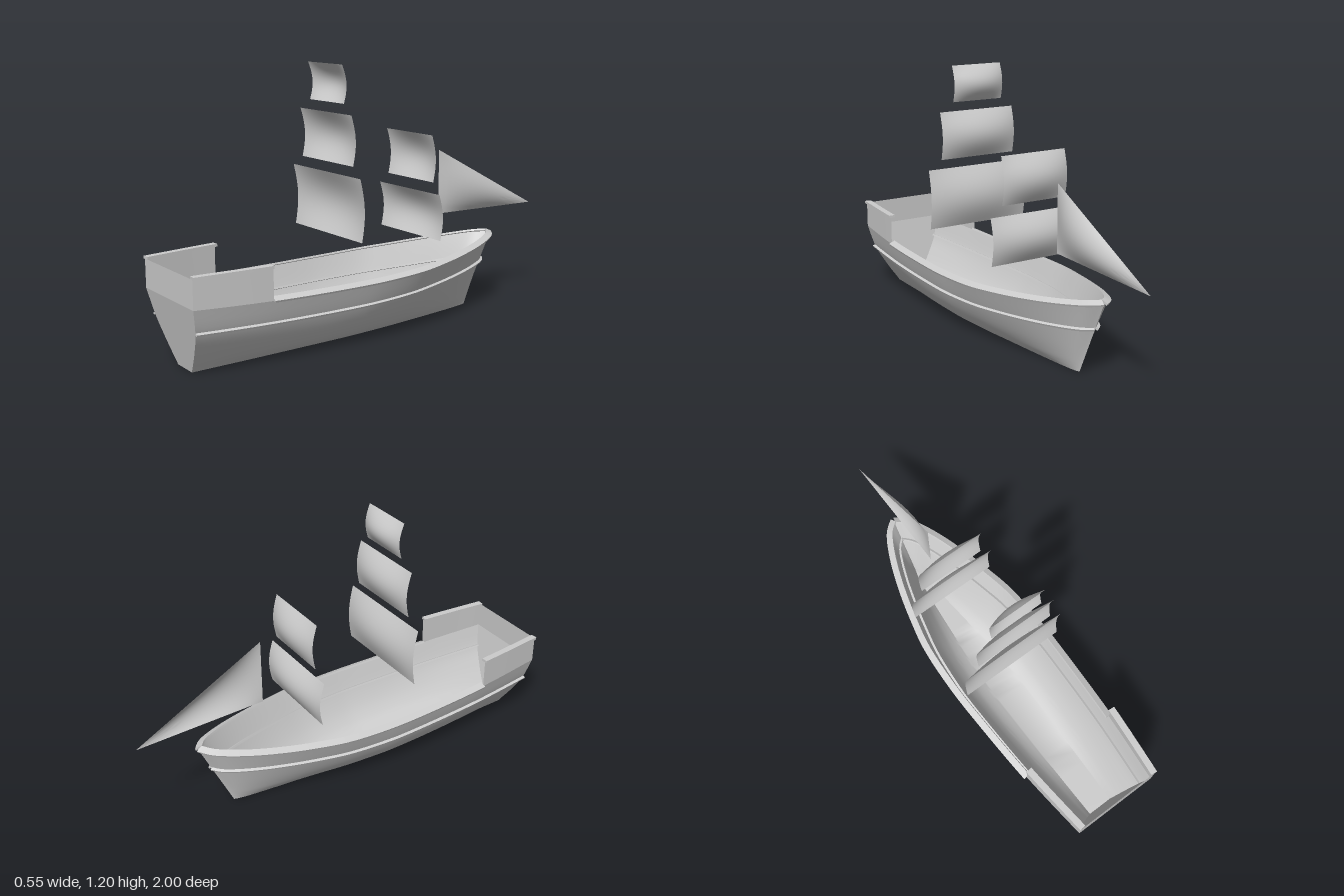
import * as THREE from 'three';
import { toCreasedNormals } from 'three/addons/utils/BufferGeometryUtils.js';

const lightGrey = new THREE.MeshStandardMaterial({ color: 0xcccccc, side: THREE.DoubleSide });
lightGrey.name = 'light grey';

const V2 = (p) => new THREE.Vector2(p[0], p[1]);
const lerp = THREE.MathUtils.lerp;

// Half width of the hull along its top edge: (z, half width), stern to bow
const plan = new THREE.SplineCurve([
  [1, 0.205], [0.66, 0.238], [0.3, 0.255], [0.1, 0.257], [-0.1, 0.245],
  [-0.25, 0.215], [-0.4, 0.175], [-0.55, 0.122], [-0.67, 0.06], [-0.723, 0],
].map(V2));
// Frames from keel to top edge: (height fraction, half width)
const midFrame = new THREE.SplineCurve(
  [[0, 0.07], [0.07, 0.107], [0.17, 0.142], [0.36, 0.183], [0.64, 0.222], [1, 0.257]].map(V2));
const sternFrame = new THREE.SplineCurve(
  [[0, 0.06], [0.07, 0.073], [0.17, 0.094], [0.36, 0.13], [0.64, 0.175], [1, 0.205]].map(V2));

const sheer = (z) => 0.283 + (z < 0.2 ? 0.057 * ((z - 0.2) / 0.92) ** 2 : 0.019 * ((z - 0.2) / 0.8) ** 2);

// Point on the hull skin: u runs stern to bow, t keel to top edge
function hullPoint(u, t, side) {
  const p = plan.getPoint(u);
  const m = midFrame.getPoint(t), s = sternFrame.getPoint(t);
  const along = (1 - p.x) / 1.723;
  const aft = Math.max(0, 1 - along / 0.4) ** 1.5;
  const fore = Math.max(0, (along - 0.5) / 0.5);
  const f = m.x;
  const mid = (m.y / 0.257) * p.y * (1 - 0.3 * fore * (1 - f));
  const stern = (s.y / 0.205) * p.y;
  const z = lerp(0.94 + 0.06 * f, -0.57 - 0.153 * f, along);
  return new THREE.Vector3(side * lerp(mid, stern, aft), f * sheer(p.x), z);
}

// Surface through rows of points
function surface(rows) {
  const w = rows[0].length, index = [];
  for (let i = 0; i < rows.length - 1; i++) {
    for (let j = 0; j < w - 1; j++) {
      const a = i * w + j, b = a + w;
      index.push(a, b, a + 1, b, b + 1, a + 1);
    }
  }
  const g = new THREE.BufferGeometry().setFromPoints(rows.flat());
  g.setIndex(index);
  return toCreasedNormals(g, 0.6);
}

const range = (n, fn) => Array.from({ length: n + 1 }, (_, i) => fn(i / n));

// Rectangular strip swept along a path, tilted downwards on its outer side
function strip(path, side, tilt, inner, outer, thick) {
  const c = Math.cos(tilt), s = Math.sin(tilt);
  const corners = [[inner, 0], [outer, 0], [outer, thick], [inner, thick], [inner, 0]];
  const rows = path.map((p, i) => {
    const d = path[Math.min(i + 1, path.length - 1)].clone().sub(path[Math.max(i - 1, 0)]);
    const out = new THREE.Vector3(-d.z * side, 0, d.x * side).normalize();
    if (out.x * side < 0) out.negate();
    return corners.map(([a, b]) => {
      const q = p.clone().addScaledVector(out, a * c + b * s);
      q.y += b * c - a * s;
      q.x = side * Math.max(0, q.x * side);
      return q;
    });
  });
  // End caps
  const cap = (r) => r[0].clone().add(r[2]).multiplyScalar(0.5);
  const first = rows[0], last = rows[rows.length - 1];
  return surface([first.map(() => cap(first)), ...rows, last.map(() => cap(last))]);
}

// Square sail with its belly towards the bow
function squareSail(z, bottom, top, half) {
  return surface(range(14, (v) => range(16, (u) => {
    const x = u * 2 - 1;
    const belly = Math.sin(Math.PI * v) * (0.018 + 0.026 * (1 - x * x));
    return new THREE.Vector3(x * half, lerp(bottom, top, v), z + 0.008 * v - belly);
  })));
}

export function createModel() {
  const ship = new THREE.Group();
  ship.name = 'sailingShip';
  const add = (name, geometry) => {
    const mesh = new THREE.Mesh(geometry, lightGrey);
    mesh.name = name;
    ship.add(mesh);
  };

  // Hull skin, including the flat bottom
  add('hull', surface(range(48, (u) => [
    ...range(20, (k) => hullPoint(u, 1 - k, -1)),
    ...range(20, (k) => hullPoint(u, k, 1)),
  ])));

  // Raked transom with an upright upper board
  add('transom', surface(range(20, (t) => [hullPoint(0, t, -1), hullPoint(0, t, 1)])));
  add('transomBoard', surface([0.302, 0.425].map((y) =>
    [new THREE.Vector3(-0.205, y, 1), new THREE.Vector3(0.205, y, 1)])));

  for (const side of [-1, 1]) {
    const name = side > 0 ? 'left' : 'right';
    // Rails along the top edge and the wale
    add(name + 'TopRail', strip(range(48, (k) => hullPoint(lerp(0.111, 1, k), 1, side)), side, 0.42, -0.02, 0.012, 0.009));
    add(name + 'Wale', strip(range(48, (u) => hullPoint(u, 0.8, side)), side, 0.45, -0.012, 0.012, 0.009));
    // Raised bulwark at the stern
    const edge = range(8, (k) => hullPoint(k / 9, 1, side));
    add(name + 'Bulwark', surface([edge, edge.map((p) => p.clone().setY(0.425))]));
    add(name + 'BulwarkRail', strip(edge.map((p) => p.clone().setY(0.423)), side, 0, -0.02, 0.01, 0.012));
  }

  // Square sails: z, bottom, top, half width
  add('mainCourse', squareSail(0.234, 0.465, 0.737, 0.252));
  add('mainTopsail', squareSail(0.234, 0.78, 0.995, 0.19));
  add('mainTopgallant', squareSail(0.234, 1.037, 1.2, 0.126));
  add('foreCourse', squareSail(-0.228, 0.402, 0.612, 0.215));
  add('foreTopsail', squareSail(-0.228, 0.66, 0.872, 0.162));

  // Triangular headsail, gently curved to one side
  add('headsail', surface(range(16, (k) => range(12, (v) => {
    const aft = 1 - k;
    const bulge = 0.95 * k * aft * aft * v * (1 - v);
    const y = lerp(0.455, lerp(0.47, 0.773, v), aft);
    return new THREE.Vector3(bulge, y, lerp(-0.4, -1, k));
  }))));

  return ship;
}
